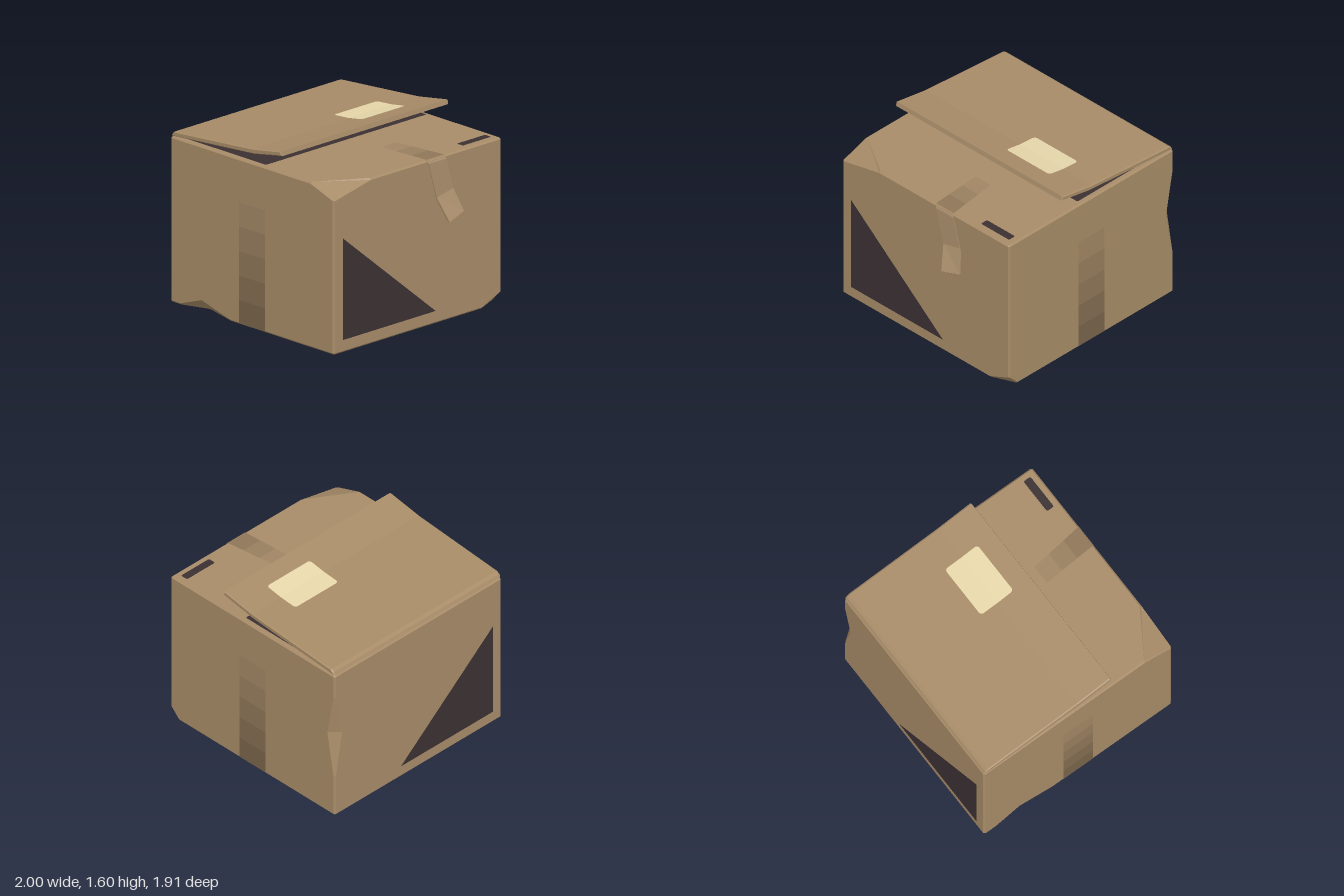
import * as THREE from 'three';

const paint = (name, color) => new THREE.MeshStandardMaterial({ name, color });

// Box limits per axis and the small bevel along its edges
const LO = [-1, 0, -0.95], HI = [0.9, 1.42, 0.95], B = 0.014;
const CENTRE = new THREE.Vector3(-0.05, 0.71, 0);

// Crushed corners: how far the cut runs along x, y and z
const CUTS = { '1,1,1': [0.27, 0.1, 0.42], '1,-1,-1': [0.1, 0.1, 0.22] };
// Dented edges, keyed by the signs of the edge (0 = its own axis): [position, depth]
const DENTS = {
  '0,-1,1': [[-0.88, B], [-0.64, 0.1], [-0.31, B]],
  '-1,0,-1': [[0.4, B], [0.81, 0.085], [1.2, B]],
};

// Flat-shaded geometry from loose triangles, each turned away from a centre
function facets(tris, centre = CENTRE) {
  const out = [], n = new THREE.Vector3(), m = new THREE.Vector3();
  for (const t of tris) {
    const [a, b, c] = t.map((p) => new THREE.Vector3(...p));
    n.crossVectors(b.clone().sub(a), c.clone().sub(a));
    if (n.length() < 1e-8) continue;
    m.copy(a).add(b).add(c).divideScalar(3).sub(centre);
    for (const p of n.dot(m) > 0 ? [a, b, c] : [a, c, b]) out.push(p.x, p.y, p.z);
  }
  const g = new THREE.BufferGeometry();
  g.setAttribute('position', new THREE.Float32BufferAttribute(out, 3));
  g.computeVertexNormals();
  return g;
}
const quad = (a, b, c, d) => [[a, b, c], [a, c, d]];

// Points of one box edge (running along axis e) as they lie on face axis a
function edgePoints(e, a, signs) {
  const f = 3 - e - a;
  const make = (along, inset) => {
    const p = [0, 0, 0];
    p[e] = along;
    p[a] = signs[a] > 0 ? HI[a] : LO[a];
    p[f] = signs[f] > 0 ? HI[f] - inset : LO[f] + inset;
    return p;
  };
  const end = (s) => {
    const k = [...signs];
    k[e] = s;
    const c = (CUTS[k.join()] || [B, B, B])[e];
    return make(s > 0 ? HI[e] - c : LO[e] + c, B);
  };
  const k = [...signs];
  k[e] = 0;
  return [end(-1), ...(DENTS[k.join()] || []).map(([t, d]) => make(t, d)), end(1)];
}

function boxGeometry() {
  const tris = [];
  const signed = (...pairs) => {
    const s = [0, 0, 0];
    pairs.forEach(([axis, v]) => { s[axis] = v; });
    return s;
  };
  for (let a = 0; a < 3; a++) {
    const u = (a + 1) % 3, v = (a + 2) % 3;
    for (const s of [-1, 1]) {
      // Face outline following its four edges
      const loop = [
        ...edgePoints(u, a, signed([a, s], [v, -1])),
        ...edgePoints(v, a, signed([a, s], [u, 1])),
        ...edgePoints(u, a, signed([a, s], [v, 1])).reverse(),
        ...edgePoints(v, a, signed([a, s], [u, -1])).reverse(),
      ].filter((p, i, l) => {
        const q = l[(i + 1) % l.length];
        return Math.hypot(p[0] - q[0], p[1] - q[1], p[2] - q[2]) > 1e-5;
      });
      const flat = loop.map((p) => new THREE.Vector2(p[u], p[v]));
      for (const t of THREE.ShapeUtils.triangulateShape(flat, [])) tris.push(t.map((i) => loop[i]));
      // Bevel strips along the edges parallel to this axis
      for (const r of [-1, 1]) {
        const sg = signed([u, s], [v, r]);
        const p = edgePoints(a, u, sg), q = edgePoints(a, v, sg);
        for (let i = 0; i + 1 < p.length; i++) tris.push(...quad(p[i], p[i + 1], q[i + 1], q[i]));
      }
    }
  }
  // Corner facets
  for (const x of [-1, 1]) for (const y of [-1, 1]) for (const z of [-1, 1]) {
    const s = [x, y, z];
    const at = (e, a) => {
      const l = edgePoints(e, a, s);
      return s[e] > 0 ? l[l.length - 1] : l[0];
    };
    const ring = [at(0, 1), at(0, 2), at(1, 2), at(1, 0), at(2, 0), at(2, 1)];
    for (let i = 1; i < 5; i++) tris.push([ring[0], ring[i], ring[i + 1]]);
  }
  return facets(tris);
}

export function createModel() {
  const model = new THREE.Group();
  model.name = 'cardboardBox';
  const card = paint('cardboard', 0xa88c68);
  const ink = paint('dark print', 0x3b3133);
  const paper = paint('label paper', 0xe8d8ab);
  const peel = paint('loose tape', 0xad916e);
  const tape = [0xa18664, 0x987e5e, 0x8e7657, 0x846d51, 0x79644a]
    .map((c, i) => paint('tape shade ' + (i + 1), c));
  const add = (name, geometry, material) => {
    const m = new THREE.Mesh(geometry, material);
    m.name = name;
    model.add(m);
    return m;
  };

  add('boxBody', boxGeometry(), card);

  // Raised lid flap with a soft bend
  const profile = [[-0.995, 1.424], [-0.98, 1.45], [-0.955, 1.468], [-0.5, 1.505], [-0.05, 1.542],
    [0.28, 1.597], [0.29, 1.558], [-0.03, 1.499], [-0.5, 1.461], [-0.95, 1.426]];
  const flap = new THREE.ExtrudeGeometry(new THREE.Shape(profile.map((p) => new THREE.Vector2(...p))), {
    depth: 1.876, bevelThickness: 0.012, bevelSize: 0.008, bevelOffset: -0.008, bevelSegments: 1,
  });
  add('lidFlap', flap.translate(0, 0, -0.938), card);

  // Round-cornered plate lying on a height rule y(x)
  function plate(name, x0, x1, z0, z1, r, height, material, extra = []) {
    const arc = [0, 0.3, 1];
    const xs = [...arc.map((t) => x0 + r * t), ...extra, ...arc.map((t) => x1 - r * t).reverse()];
    const row = xs.map((x) => {
      const d = Math.max(0, r - Math.min(x - x0, x1 - x));
      const cut = r - Math.sqrt(Math.max(0, r * r - d * d));
      return [[x, height(x), z0 + cut], [x, height(x), z1 - cut]];
    });
    const tris = [];
    for (let i = 0; i + 1 < row.length; i++) tris.push(...quad(row[i][0], row[i + 1][0], row[i + 1][1], row[i][1]));
    add(name, facets(tris), material);
  }
  const flapTop = (x) => 0.005 + 1.542 + (x + 0.05) * (x < -0.05 ? 0.082 : 0.1667);
  plate('flapLabel', -0.22, 0.11, -0.63, -0.14, 0.025, flapTop, paper, [-0.05]);
  plate('topMark', 0.77, 0.84, -0.89, -0.57, 0.012, () => 1.424, ink);
  plate('openingShade', -0.93, 0.07, -0.91, 0.91, 0.01, () => 1.423, ink);

  // Printed triangles on both sides
  for (const [name, x] of [['leftTriangle', 0.904], ['rightTriangle', -1.004]])
    add(name, facets([[[x, 0.98, 0.85], [x, 0.11, 0.85], [x, 0.11, -0.2]]]), ink);

  // Tape fading up the front and back, and running under the box
  const bands = 5, rise = 1.05;
  for (const [name, z] of [['frontTape', 0.953], ['backTape', -0.953]]) {
    for (let i = 0; i < bands; i++) {
      const y0 = Math.max(0.015, (rise * i) / bands), y1 = (rise * (i + 1)) / bands;
      add(name, facets(quad([-0.2, y0, z], [0.1, y0, z], [0.1, y1, z], [-0.2, y1, z])), tape[bands - 1 - i]);
    }
  }
  add('bottomTape', facets(quad([-0.2, -0.003, -0.935], [0.1, -0.003, -0.935],
    [0.1, -0.003, 0.935], [-0.2, -0.003, 0.935])), tape[4]);

  // Tape across the top, darkening toward the edge
  const topAt = (t) => {
    const x = 0.4 + 0.49 * t;
    return [[x, 1.423, -0.245 - 0.065 * t], [x, 1.423, -0.075 - 0.035 * t]];
  };
  for (let i = 0; i < 3; i++) {
    const [a, b] = topAt(i / 3), [c, d] = topAt((i + 1) / 3);
    add('topTape', facets(quad(a, c, d, b)), tape[i]);
  }

  // Loose tape end peeling off the side: front-edge and back-edge points, top to tip
  const front = [[0.892, 1.422, -0.11], [0.906, 1.39, -0.12], [0.908, 1.08, -0.209], [0.995, 0.875, -0.27]];
  const back = [[0.892, 1.422, -0.31], [0.906, 1.39, -0.32], [0.908, 1.12, -0.394], [0.972, 0.925, -0.455]];
  const thick = ([x, y, z]) => [x - 0.014, y - 0.01, z];
  const strip = [];
  for (let i = 0; i < 3; i++) {
    const o = [front[i], front[i + 1], back[i + 1], back[i]], n = o.map(thick);
    const c = new THREE.Vector3();
    [...o, ...n].forEach((p) => c.add(new THREE.Vector3(...p)));
    c.divideScalar(8);
    const sides = [quad(...o), quad(...n), quad(o[0], o[1], n[1], n[0]), quad(o[2], o[3], n[3], n[2])];
    if (i === 2) sides.push(quad(o[1], o[2], n[2], n[1]));
    strip.push(facets(sides.flat(), c));
  }
  strip.forEach((g) => add('looseTape', g, peel));

  return model;
}
